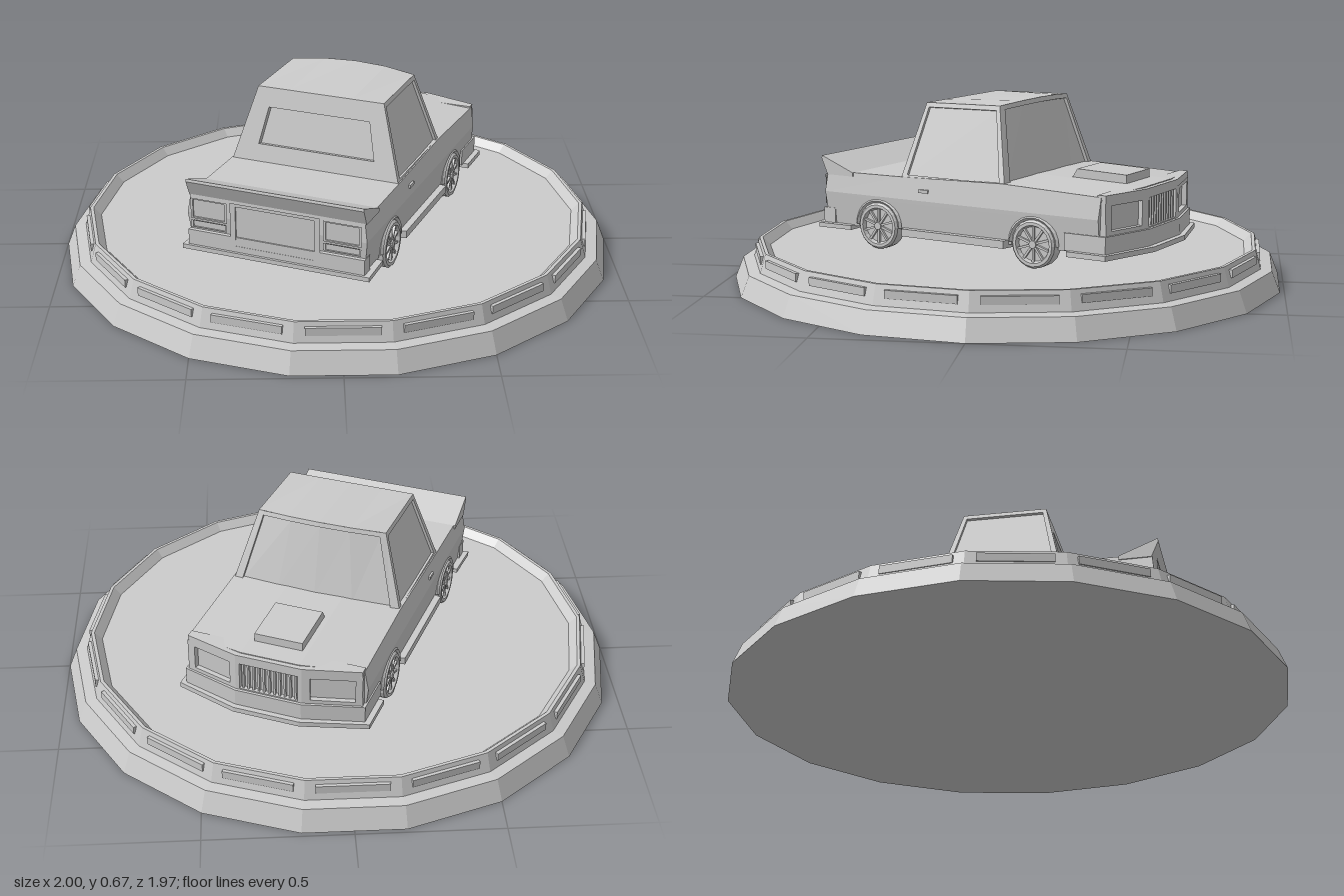
import * as THREE from 'three';

const mat = new THREE.MeshStandardMaterial({ color: 0xcccccc, flatShading: true, side: THREE.DoubleSide });

function add(parent, name, geo, x = 0, y = 0, z = 0) {
  const m = new THREE.Mesh(geo, mat);
  m.name = name;
  m.position.set(x, y, z);
  parent.add(m);
  return m;
}
const toShape = pts => new THREE.Shape(pts.map(p => new THREE.Vector2(...p)));

// side outline (z, y) extruded across the car's width, centred on x = 0
function across(shape, width, steps = 1) {
  return new THREE.ExtrudeGeometry(shape, { depth: width, steps, bevelEnabled: false, curveSegments: 10 })
    .translate(0, 0, -width / 2).rotateY(-Math.PI / 2);
}
// plan outline (x, z) extruded from y0 to y1
function slab(pts, y0, y1) {
  return new THREE.ExtrudeGeometry(toShape(pts), { depth: y1 - y0, bevelEnabled: false })
    .rotateX(Math.PI / 2).translate(0, y1, 0);
}
// four corners seen from outside: bottom left, bottom right, top right, top left
function quad(a, b, c, d, bend) {
  const [A, B, C, D] = [a, b, c, d].map(p => new THREE.Vector3(...p));
  return (u, v) => {
    const p = A.clone().lerp(B, u).lerp(D.clone().lerp(C, u), v);
    if (bend) bend(p, u, v);
    return p;
  };
}
// surface patch with an optional sunken window [u0, u1, v0, v1]
function panel(surf, hole, depth = 0.012, nu = 1) {
  const [u0, u1, v0, v1] = hole || [0, 1, 0, 1];
  const us = [0], vs = hole ? [0, v0, v1, 1] : [0, 0.5, 1], pos = [];
  for (let i = 0; i <= nu; i++) us.push(u0 + (u1 - u0) * i / nu);
  us.push(1);
  const e = 0.4, c = surf(e, e);
  const n = surf(0.6, e).sub(c).cross(surf(e, 0.6).sub(c)).normalize().multiplyScalar(-depth);
  const put = (...q) => [0, 1, 2, 0, 2, 3].forEach(k => pos.push(...q[k].toArray()));
  const sink = (u, v) => surf(u, v).add(n);
  for (let i = 0; i < us.length - 1; i++) for (let j = 0; j < vs.length - 1; j++) {
    const [a, b, d, f] = [us[i], us[i + 1], vs[j], vs[j + 1]];
    if (b - a < 1e-6) continue;
    const inside = hole && a >= u0 - 1e-6 && b <= u1 + 1e-6 && j === 1;
    const g = inside ? sink : surf;
    put(g(a, d), g(b, d), g(b, f), g(a, f));
    if (!inside) continue;
    put(surf(a, d), surf(b, d), sink(b, d), sink(a, d));
    put(sink(a, f), sink(b, f), surf(b, f), surf(a, f));
    if (a < u0 + 1e-6) put(surf(a, f), surf(a, d), sink(a, d), sink(a, f));
    if (b > u1 - 1e-6) put(surf(b, d), surf(b, f), sink(b, f), sink(b, d));
  }
  const geo = new THREE.BufferGeometry();
  geo.setAttribute('position', new THREE.Float32BufferAttribute(pos, 3));
  geo.computeVertexNormals();
  return geo;
}

function makeBase() {
  const base = new THREE.Group();
  base.name = 'displayBase';
  const profile = [[0, 0], [1, 0], [0.97, 0.075], [0.93, 0.08], [0.91, 0.147], [0.898, 0.147], [0.871, 0.118], [0, 0.118]];
  add(base, 'plinth', new THREE.LatheGeometry(profile.map(p => new THREE.Vector2(...p)), 18, Math.PI / 2));
  for (let i = 0; i < 18; i++) {
    const a = (i + 0.5) * Math.PI / 9 + Math.PI / 2;
    const rail = add(base, 'rimBlock', new THREE.BoxGeometry(0.246, 0.028, 0.03), Math.sin(a) * 0.898, 0.118, Math.cos(a) * 0.898);
    rail.rotation.y = a;
  }
  return base;
}

// wheel axis along x, outer side towards +x
function makeWheel() {
  const w = new THREE.Group();
  w.name = 'wheel';
  const prof = [[0, -0.03], [0.076, -0.03], [0.084, -0.022], [0.084, 0.022], [0.077, 0.03], [0.066, 0.03], [0.06, 0.016], [0, 0.016]];
  add(w, 'tyre', new THREE.LatheGeometry(prof.map(p => new THREE.Vector2(...p)), 20).rotateZ(-Math.PI / 2));
  add(w, 'hub', new THREE.CylinderGeometry(0.014, 0.016, 0.016, 10).rotateZ(-Math.PI / 2), 0.022);
  for (let i = 0; i < 10; i++)
    add(w, 'spoke', new THREE.BoxGeometry(0.01, 0.052, 0.008).translate(0, 0.036, 0), 0.02).rotation.x = i * Math.PI / 5;
  return w;
}

const frontZ = 0.3, rearZ = -0.345;
// bowed nose outline in plan, pushed outwards by o
const nose = (o, back) => [[-0.325 - o, back], [-0.325 - o, 0.575 + o / 2], [-0.12, 0.632 + o], [0.12, 0.632 + o], [0.325 + o, 0.575 + o / 2], [0.325 + o, back]];

function makeBody(car) {
  const lower = new THREE.Shape();
  lower.moveTo(-0.57, 0.19);
  for (const z of [rearZ, frontZ]) {
    lower.lineTo(z - 0.092, 0.19);
    lower.absarc(z, 0.203, 0.092, Math.PI, 0, true);
    lower.lineTo(z + 0.092, 0.19);
  }
  [[0.55, 0.19], [0.55, 0.31], [-0.582, 0.31]].forEach(p => lower.lineTo(...p));
  const upper = toShape([[-0.582, 0.31], [0.55, 0.31], [0.555, 0.385], [0.17, 0.398], [-0.25, 0.388], [-0.575, 0.385]]);
  for (const [name, shape] of [['lowerBody', lower], ['upperBody', upper]]) {
    const geo = across(shape, 0.66, 3), p = geo.attributes.position;
    for (let i = 0; i < p.count; i++) {
      const x = p.getX(i), y = p.getY(i), z = p.getZ(i);
      const half = y < 0.31 ? 0.317 + (y - 0.19) * 0.11 : 0.33 - (y - 0.31) * 0.15;
      const mid = Math.abs(x) < 0.2 ? 1 : 0;
      p.setX(i, x * half / 0.33);
      p.setZ(i, z + (z > 0.5 ? 0.052 * mid : 0));
      p.setY(i, y + (y > 0.35 && z > 0 ? 0.01 * mid : 0));
    }
    geo.computeVertexNormals();
    add(car, name, geo);
  }

  // nose: hood edge, bumper, splitter, headlights and grille
  add(car, 'hoodEdge', slab(nose(-0.008, 0.54), 0.365, 0.392));
  add(car, 'frontBumper', slab(nose(0.004, 0.42), 0.195, 0.255));
  add(car, 'frontSplitter', slab(nose(0.024, 0.44), 0.178, 0.196));
  const P = nose(-0.006, 0).slice(1, 5);
  ['rightHeadlight', 'grille', 'leftHeadlight'].forEach((name, i) => {
    const [a, b] = [P[i], P[i + 1]];
    const s = quad([a[0], 0.25, a[1]], [b[0], 0.25, b[1]], [b[0], 0.37, b[1]], [a[0], 0.37, a[1]]);
    add(car, name, panel(s, i === 1 ? [0.06, 0.94, 0.08, 0.92] : [0.14, 0.88, 0.16, 0.88], 0.018));
  });
  for (let i = 0; i < 11; i++)
    add(car, 'grilleBar', new THREE.BoxGeometry(0.007, 0.1, 0.012), -0.095 + i * 0.019, 0.31, 0.614);
  add(car, 'hoodScoop', across(toShape([[0.31, 0.39], [0.337, 0.434], [0.53, 0.427], [0.53, 0.38]]), 0.175));

  // tail: spoiler, boot panel, lights, bumper lip
  add(car, 'spoiler', across(toShape([[-0.46, 0.386], [-0.598, 0.44], [-0.6, 0.43], [-0.574, 0.372], [-0.46, 0.372]]), 0.65));
  const tail = (name, x0, x1, y0, y1) => {
    const s = quad([x1, y0, -0.592], [x0, y0, -0.592], [x0, y1, -0.592], [x1, y1, -0.592]);
    add(car, name, panel(s, [0.06, 0.94, 0.07, 0.93], 0.006));
  };
  tail('bootPanel', -0.165, 0.165, 0.205, 0.375);
  add(car, 'rearBumper', new THREE.BoxGeometry(0.65, 0.055, 0.05), 0, 0.222, -0.566);
  add(car, 'rearLip', slab([[-0.34, -0.46], [-0.345, -0.6], [0.345, -0.6], [0.34, -0.46]], 0.178, 0.194));

  for (const k of [-1, 1]) {
    tail('tailLight', k * 0.245 - 0.068, k * 0.245 + 0.068, 0.295, 0.37);
    tail('reflector', k * 0.245 - 0.068, k * 0.245 + 0.068, 0.262, 0.288);
    add(car, 'noseCorner', new THREE.BoxGeometry(0.018, 0.13, 0.04), k * 0.309, 0.31, 0.553);
    add(car, 'sideSkirt', slab([[k * 0.28, -0.25], [k * 0.343, -0.235], [k * 0.343, 0.19], [k * 0.28, 0.205]], 0.178, 0.205));
    add(car, 'doorHandle', new THREE.BoxGeometry(0.012, 0.012, 0.04), k * 0.325, 0.345, -0.15);
    for (const z of [rearZ, frontZ]) {
      const w = makeWheel();
      w.position.set(k * 0.305, 0.203, z);
      if (k < 0) w.rotation.y = Math.PI;
      car.add(w);
      add(car, 'wheelArch', new THREE.TorusGeometry(0.092, 0.008, 4, 12, Math.PI).rotateY(Math.PI / 2), k * 0.325, 0.203, z);
    }
  }
  for (const z of [rearZ, frontZ])
    add(car, 'axle', new THREE.CylinderGeometry(0.02, 0.02, 0.58, 8).rotateZ(Math.PI / 2), 0, 0.203, z);
}

function makeCabin(car) {
  const cabin = new THREE.Group();
  cabin.name = 'cabin';
  car.add(cabin);
  // corners of the base and of the roof
  const b = (k, f) => [k * 0.315, 0.386, f ? 0.178 : -0.252];
  const t = (k, f) => [k * 0.237, f ? 0.655 : 0.65, f ? 0.112 : -0.192];
  const arc = u => 4 * u * (1 - u);
  const bow = (p, u, v) => { p.z += 0.03 * arc(u); p.y += 0.012 * arc(u) * v; };
  const dome = (p, u, v) => { p.z += 0.03 * arc(u) * (1 - v); p.y += 0.012 * arc(u) * (1 - v) + 0.008 * arc(v); };
  add(cabin, 'windscreen', panel(quad(b(-1, 1), b(1, 1), t(1, 1), t(-1, 1), bow), [0.05, 0.95, 0.04, 0.94], 0.012, 4));
  add(cabin, 'rearWindow', panel(quad(b(1, 0), b(-1, 0), t(-1, 0), t(1, 0)), [0.13, 0.87, 0.24, 0.74], 0.022));
  add(cabin, 'leftWindow', panel(quad(b(1, 1), b(1, 0), t(1, 0), t(1, 1)), [0.05, 0.95, 0.04, 0.94], 0.01));
  add(cabin, 'rightWindow', panel(quad(b(-1, 0), b(-1, 1), t(-1, 1), t(-1, 0)), [0.05, 0.95, 0.04, 0.94], 0.01));
  const roof = quad(t(-1, 1), t(1, 1), t(1, 0), t(-1, 0), dome);
  add(cabin, 'roof', panel(roof, [0.001, 0.999, 0.001, 0.999], 0, 4));
}

export function createModel() {
  const model = new THREE.Group();
  model.name = 'carOnBase';
  model.add(makeBase());
  const car = new THREE.Group();
  car.name = 'car';
  makeBody(car);
  makeCabin(car);
  car.rotation.y = 2.73;
  car.position.x = 0.015;
  model.add(car);
  return model;
}
